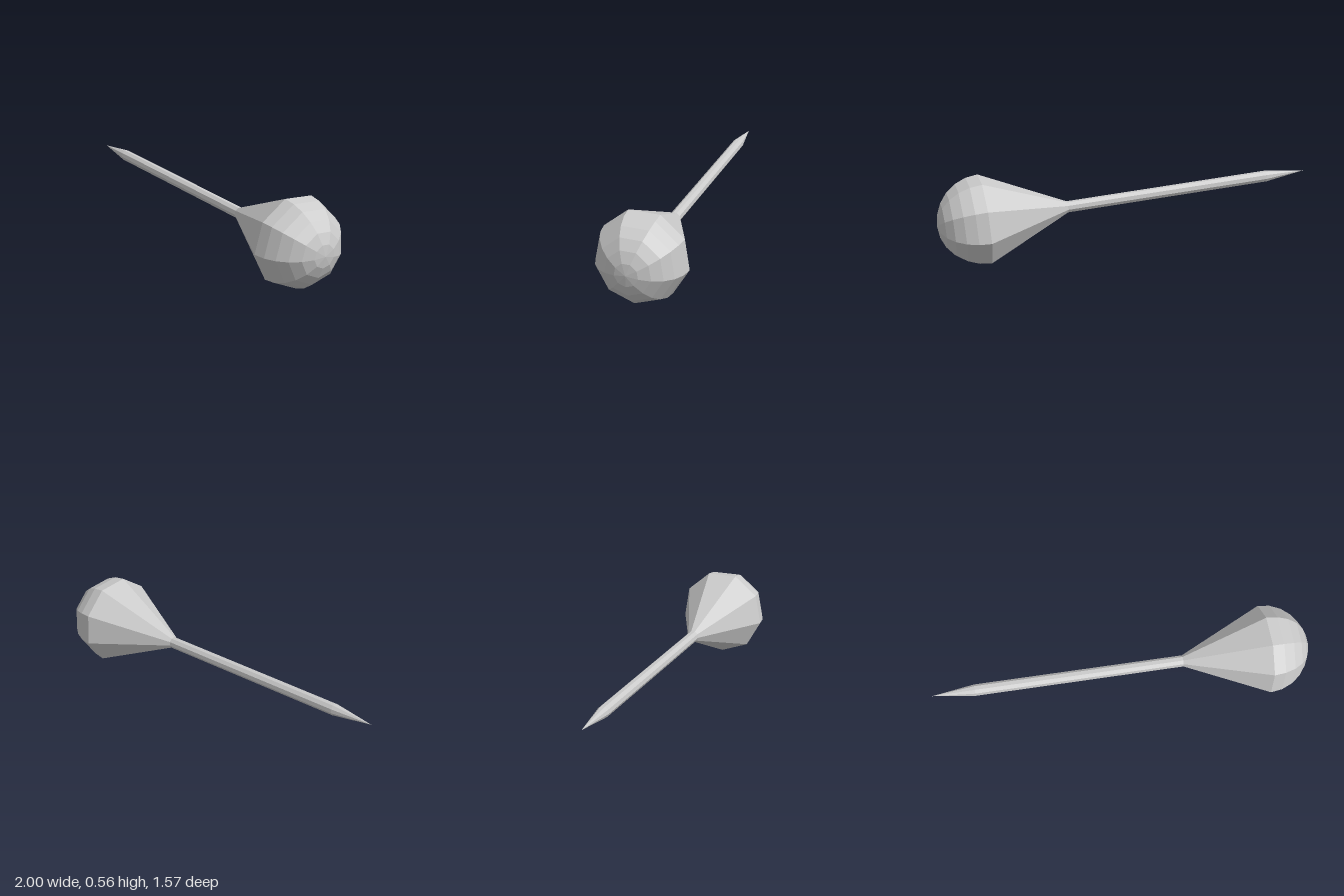
import * as THREE from 'three';

const SIDES = 9;
const material = new THREE.MeshStandardMaterial({ color: 0xcccccc, flatShading: true });

// Nine-sided turned part; the profile lists [radius, distance from the tip].
function turned(name, profile) {
  const points = profile.map(([r, t]) => new THREE.Vector2(r, t));
  const geometry = new THREE.LatheGeometry(points, SIDES, THREE.MathUtils.degToRad(-3));
  const mesh = new THREE.Mesh(geometry, material);
  mesh.name = name;
  return mesh;
}

export function createModel() {
  const group = new THREE.Group();
  group.name = 'pin';

  const pin = new THREE.Group();
  pin.name = 'tiltedPin';
  const neck = 1.612, rim = 2.147, headRadius = 0.288;

  // Slim needle with a sharp tip
  pin.add(turned('needle', [[0, 0], [0.037, 0.27], [0.037, neck]]));

  // Head: a flaring cone closed by a half-round dome
  const headProfile = [[0.037, neck]];
  const steps = 6;
  for (let i = 0; i <= steps; i++) {
    const a = (i / steps) * Math.PI / 2;
    headProfile.push([i === steps ? 0 : headRadius * Math.cos(a), rim + 0.295 * Math.sin(a)]);
  }
  pin.add(turned('head', headProfile));

  // Lay the pin diagonally, tip at the back right and head resting on the ground
  const along = new THREE.Vector3(0.797, -0.0775, 0.599).normalize();
  const side = new THREE.Vector3(along.z, 0, -along.x).normalize();
  const down = new THREE.Vector3().crossVectors(side, along);
  pin.quaternion.setFromRotationMatrix(new THREE.Matrix4().makeBasis(side, along, down));
  pin.position.set(-1, 0.46, -0.79);
  group.add(pin);

  return group;
}
